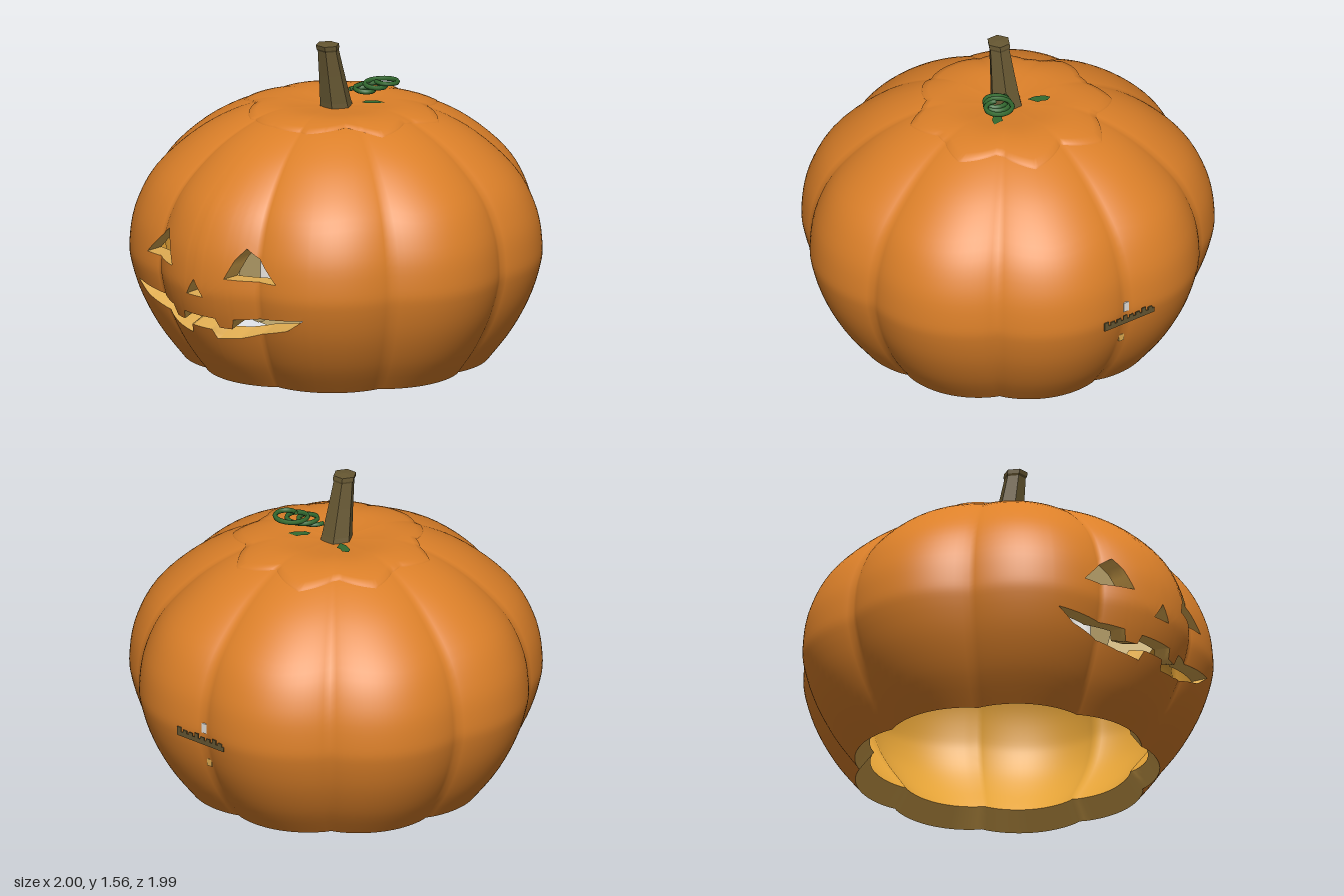
import * as THREE from 'three';
import { mergeVertices } from 'three/addons/utils/BufferGeometryUtils.js';

const mat = (name, color, side = THREE.FrontSide) => {
  const m = new THREE.MeshStandardMaterial({ color, side });
  m.name = name;
  return m;
};

// Side profile of the pumpkin, from base to centre of the top (radius, height)
const profile = new THREE.SplineCurve([
  [0.747, 0.003], [0.858, 0.15], [0.944, 0.31], [0.994, 0.46], [1.006, 0.57], [0.978, 0.74],
  [0.885, 0.92], [0.7, 1.09], [0.5, 1.2], [0.33, 1.246], [0.15, 1.238], [0, 1.22],
].map(([r, y]) => new THREE.Vector2(r, y)));

const rad = THREE.MathUtils.degToRad;
const { lerp, smoothstep } = THREE.MathUtils;

// Nine ribs, with one centred on the front
const ribs = (deg) => 0.942 + 0.058 * Math.abs(Math.cos(4.5 * rad(deg))) ** 0.8;

// Find the profile parameter where a test becomes true
function solve(lo, hi, test) {
  for (let i = 0; i < 30; i++) {
    const mid = (lo + hi) / 2;
    if (test(profile.getPoint(mid))) hi = mid; else lo = mid;
  }
  return (lo + hi) / 2;
}
const atHeight = (y) => solve(0, 0.8, (p) => p.y > y);

// Value by angle from the front, mirrored left and right
const outline = (pts) => (deg) => {
  const d = Math.abs(deg);
  for (let i = 1; i < pts.length; i++) {
    const [x0, y0] = pts[i - 1], [x1, y1] = pts[i];
    if (d <= x1) return lerp(y0, y1, (d - x0) / (x1 - x0));
  }
  return pts[pts.length - 1][1];
};
const mouthLow = outline([[0, 0.32], [4, 0.32], [5, 0.272], [13, 0.29], [29, 0.365], [34, 0.43]]);
const mouthHigh = outline([[0, 0.385], [6, 0.385], [7, 0.338], [11, 0.338], [12, 0.392], [34, 0.43]]);
const eyeLow = outline([[0, 0.49], [3, 0.49], [10, 0.6], [180, 0.6]]);
const eyeHigh = outline([[0, 0.572], [3, 0.49], [10, 0.6], [13, 0.7], [16, 0.755], [20, 0.71], [26, 0.6]]);
const lidRadius = outline([[0, 0.455], [24, 0.475], [50, 0.4], [70, 0.505], [92, 0.445], [116, 0.525],
  [136, 0.46], [158, 0.54], [180, 0.46]]);
const lidEdge = (deg) => solve(0.3, 1, (p) => p.x < lidRadius(deg));

// Point on the skin (inner = 0) or on the hollow's wall (inner = 1);
// the wall is cut straight back at the face and radially elsewhere
function point(deg, t, inner = 0, lift = 0) {
  const p = profile.getPoint(t);
  const r = Math.max(0, p.x) * ribs(deg), a = rad(deg), k = 0.1 * inner;
  const straight = 1 - smoothstep(Math.abs(deg), 36, 75);
  const s = r * (1 - k * (1 - straight));
  const rise = 0.09 * (1 - smoothstep(p.y, 0, 0.55)) - 0.08 * smoothstep(p.y, 0.8, 1.2);
  return [s * Math.sin(a), p.y + lift + rise * inner, s * Math.cos(a) - k * r * straight - 0.01];
}

// Surface over columns and rows; gap(j) leaves out the strip above row j
function sheet(cols, rows, fn, flip = false, gap = () => false) {
  const pos = [], idx = [];
  for (const c of cols) for (let j = 0; j < rows; j++) pos.push(...fn(c, j));
  for (let i = 0; i < cols.length - 1; i++) {
    for (let j = 0; j < rows - 1; j++) {
      if (gap(j)) continue;
      const a = i * rows + j, b = a + rows;
      if (flip) idx.push(a, b + 1, b, a, a + 1, b + 1);
      else idx.push(a, b, b + 1, a, b + 1, a + 1);
    }
  }
  let g = new THREE.BufferGeometry();
  g.setAttribute('position', new THREE.Float32BufferAttribute(pos, 3));
  g.setIndex(idx);
  g = mergeVertices(g, 1e-5);
  g.computeVertexNormals();
  return g;
}

const range = (a, b, step) => Array.from({ length: Math.round((b - a) / step) + 1 }, (_, i) => a + i * step);

export function createModel() {
  const model = new THREE.Group();
  const skin = mat('orange skin', 0xdc8029);
  const flesh = mat('yellow flesh', 0xe6a437);
  const cut = mat('cut flesh', 0xe0ad52);
  const glow = mat('cream glow', 0xe2c684, THREE.DoubleSide);
  const wax = mat('white wax', 0xe8e4de);
  const bark = mat('brown stem', 0x665732);
  const green = mat('green vine', 0x336a30, THREE.DoubleSide);
  const add = (name, geometry, material, parent = model) => {
    const m = new THREE.Mesh(geometry, material);
    m.name = name;
    parent.add(m);
    return m;
  };

  // Shell in three bands, with the carved openings between them
  const cols = [...range(-180, -38, 2), ...range(-36, 36, 1), ...range(38, 180, 2)];
  const counts = [11, 8, 19];
  const total = counts[0] + counts[1] + counts[2];
  const gap = (j) => j === counts[0] - 1 || j === counts[0] + counts[1] - 1;
  const limits = new Map(cols.map((d) => [d, [
    0, atHeight(mouthLow(d)), atHeight(mouthHigh(d)), atHeight(eyeLow(d)), atHeight(eyeHigh(d)), lidEdge(d) + 0.02,
  ]]));
  const rowT = (d, j) => {
    const l = limits.get(d);
    let b = 0;
    while (j >= counts[b]) j -= counts[b++];
    return lerp(l[2 * b], l[2 * b + 1], j / (counts[b] - 1));
  };
  const shell = new THREE.Group();
  shell.name = 'shell';
  model.add(shell);
  add('outerSkin', sheet(cols, total, (d, j) => point(d, rowT(d, j)), false, gap), skin, shell);
  add('hollow', sheet(cols, total, (d, j) => point(d, rowT(d, j), 1), true, gap), flesh, shell);

  // Cut walls through the shell: base rim, mouth, nose and eyes
  const wall = (name, a, b, k, flip) => add(name, sheet(cols.filter((d) => d >= a && d <= b), 4,
    (d, j) => point(d, limits.get(d)[k], j / 3), flip), cut, shell);
  wall('baseRim', -180, 180, 0, true);
  for (const [name, a, b, k] of [['mouth', -34, 34, 1], ['nose', -3, 3, 3], ['leftEye', 10, 26, 3], ['rightEye', -26, -10, 3]]) {
    wall(name + 'LowerCut', a, b, k, false);
    wall(name + 'UpperCut', a, b, k + 1, true);
  }

  // Pointed, scalloped lid with a slightly raised rim
  const lid = new THREE.Group();
  lid.name = 'lid';
  model.add(lid);
  const lidT = (d, f) => lerp(lidEdge(d), 1, f);
  add('lidTop', sheet(cols, 15, (d, j) => j === 0
    ? point(d, lidT(d, 0), 0, -0.012)
    : point(d, lidT(d, 0.02 + 0.98 * (j - 1) / 13), 0, 0.007)), skin, lid);
  add('lidUnderside', sheet(cols, 8, (d, j) => point(d, lidT(d, j / 7), 1), true), flesh, lid);

  // Leaning six-sided stem with a thicker cut end
  let stem = new THREE.LatheGeometry([
    [0.088, 1.2], [0.078, 1.26], [0.064, 1.4], [0.053, 1.525], [0.058, 1.535], [0.058, 1.555], [0, 1.56],
  ].map(([r, y]) => new THREE.Vector2(r, y)), 6);
  stem.rotateY(Math.PI / 6);
  const sp = stem.attributes.position;
  for (let i = 0; i < sp.count; i++) sp.setZ(i, sp.getZ(i) + 0.19 * (sp.getY(i) - 1.25));
  stem = stem.toNonIndexed();
  stem.computeVertexNormals();
  add('stem', stem, bark);

  // Curled tendril
  const coil = range(0, 36, 1).map((i) => {
    const f = i / 36, a = Math.PI + f * Math.PI * 5.6, r = 0.055 + 0.013 * f;
    return new THREE.Vector3(0.1 + 0.075 * f + r * Math.cos(a), 1.315 + 0.047 * f, -0.05 - 0.135 * f + r * Math.sin(a));
  });
  add('tendril', new THREE.TubeGeometry(new THREE.CatmullRomCurve3(coil), 120, 0.012, 6), green);

  // Small leaves lying on the lid
  const leafShape = new THREE.Shape();
  leafShape.moveTo(-0.055, 0);
  [[-0.035, 0.026], [-0.01, 0.022], [0.015, 0.03], [0.055, -0.006], [0.02, -0.022], [-0.03, -0.02]]
    .forEach(([x, y]) => leafShape.lineTo(x, y));
  for (const [name, x, z, turn] of [['rightLeaf', -0.13, -0.095, -0.4], ['leftLeaf', 0.14, -0.115, 0.8]]) {
    const leaf = add(name, new THREE.ShapeGeometry(leafShape).rotateX(-Math.PI / 2), green);
    leaf.position.set(x, 1.255, z);
    leaf.rotation.y = turn;
  }

  // Candle on its dish behind the face, with crossed discs of glow
  const candle = new THREE.Group();
  candle.name = 'candleLight';
  candle.position.z = 0.48;
  model.add(candle);
  add('candle', new THREE.CylinderGeometry(0.1, 0.1, 0.44, 24).translate(0, 0.59, 0), wax, candle);
  add('candleDish', new THREE.CylinderGeometry(0.16, 0.13, 0.035, 24).translate(0, 0.36, 0), wax, candle);
  for (const turn of [0, 65, -65]) {
    const disc = add('glowDisc', new THREE.CircleGeometry(turn ? 0.43 : 0.46, 40), glow, candle);
    disc.position.y = 0.69;
    disc.rotation.y = rad(turn);
  }

  // Thin notched strip bridging the groove at the back, with two chips in the groove
  const strip = new THREE.Shape();
  strip.moveTo(-0.15, 0.485);
  strip.lineTo(0.15, 0.485);
  for (let i = 0; i < 8; i++) {
    const x = 0.15 - i * 0.0375, top = i % 3 ? 0.522 : 0.53;
    strip.lineTo(x, top);
    strip.lineTo(x - 0.024, top);
    strip.lineTo(x - 0.024, 0.508);
    strip.lineTo(x - 0.0375, 0.508);
  }
  add('backStrip', new THREE.ExtrudeGeometry(strip, { depth: 0.006, bevelEnabled: false }).translate(0, 0, -0.993), bark);
  add('whiteChip', new THREE.BoxGeometry(0.03, 0.05, 0.008).translate(0, 0.555, -0.962), wax);
  add('creamChip', new THREE.BoxGeometry(0.03, 0.035, 0.008).translate(0, 0.36, -0.924), cut);

  return model;
}
